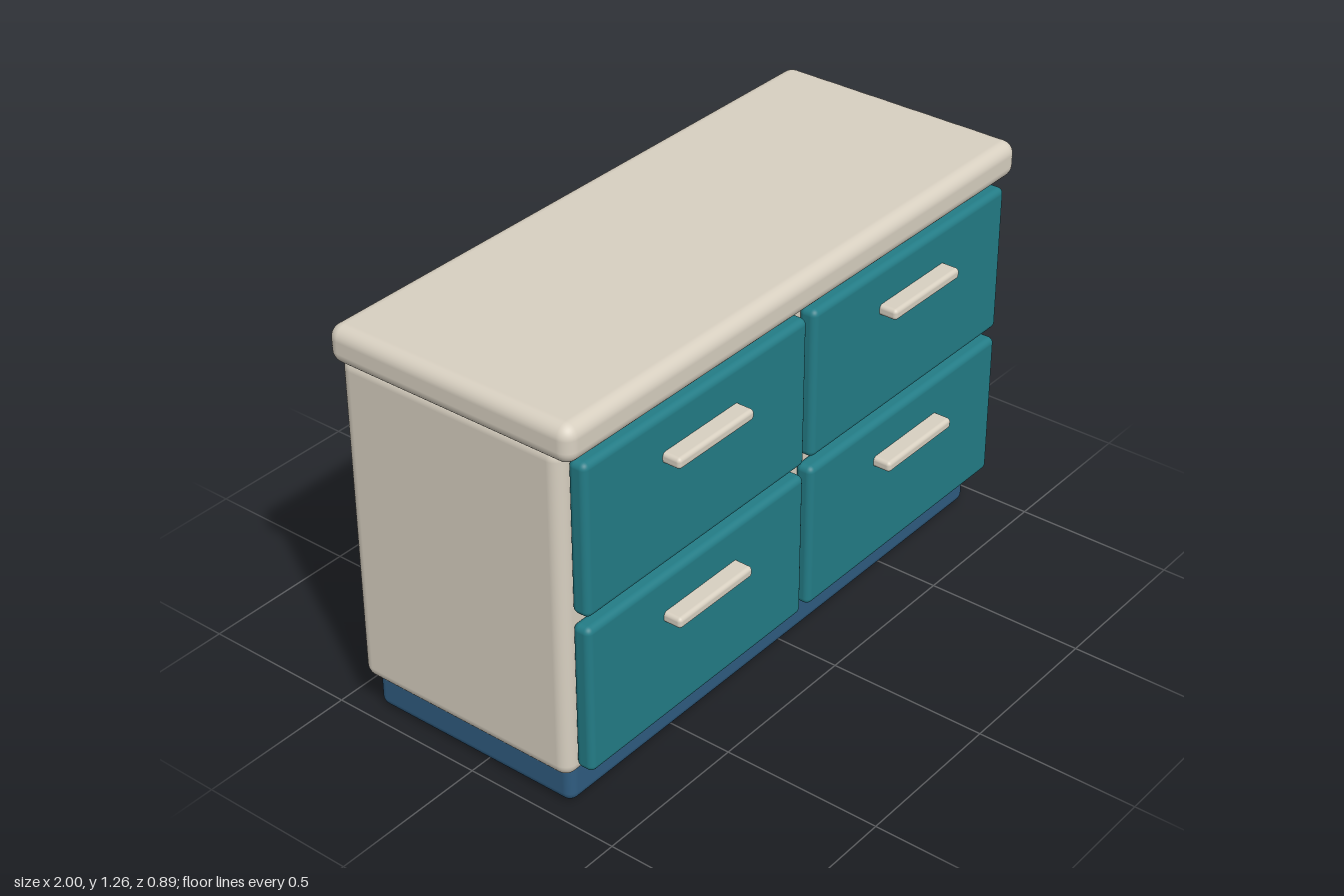
import * as THREE from 'three';
import { RoundedBoxGeometry } from 'three/addons/geometries/RoundedBoxGeometry.js';

const cream = new THREE.MeshStandardMaterial({ name: 'cream', color: 0xd8d0c1 });
const teal = new THREE.MeshStandardMaterial({ name: 'teal', color: 0x237c86 });
const navy = new THREE.MeshStandardMaterial({ name: 'navy', color: 0x2f5c80 });

// Rounded box spanning the given [min, max] ranges
function slab(name, material, [x0, x1], [y0, y1], [z0, z1], radius) {
  const geometry = new RoundedBoxGeometry(x1 - x0, y1 - y0, z1 - z0, 4, radius);
  const mesh = new THREE.Mesh(geometry, material);
  mesh.name = name;
  mesh.position.set((x0 + x1) / 2, (y0 + y1) / 2, (z0 + z1) / 2);
  return mesh;
}

export function createModel() {
  const dresser = new THREE.Group();
  dresser.name = 'dresser';

  // Recessed base, carcass and overhanging worktop
  dresser.add(
    slab('plinth', navy, [-0.943, 0.943], [0, 0.16], [-0.405, 0.31], 0.03),
    slab('cabinet', cream, [-0.975, 0.975], [0.11, 1.16], [-0.43, 0.328], 0.04),
    slab('worktop', cream, [-1, 1], [1.143, 1.258], [-0.443, 0.387], 0.04),
  );

  // Two columns by two rows of drawers, each with a bar handle
  for (const side of [-1, 1]) {
    for (const bottom of [0.148, 0.655]) {
      const drawer = new THREE.Group();
      drawer.name = (bottom > 0.5 ? 'upper' : 'lower') + (side > 0 ? 'Left' : 'Right') + 'Drawer';
      const x = side * 0.479;
      drawer.add(
        slab('drawerFront', teal, [x - 0.464, x + 0.464], [bottom, bottom + 0.473], [0.328, 0.387], 0.02),
        slab('handle', cream, [x - 0.158, x + 0.158], [bottom + 0.324, bottom + 0.358], [0.37, 0.443], 0.012),
      );
      dresser.add(drawer);
    }
  }
  return dresser;
}
